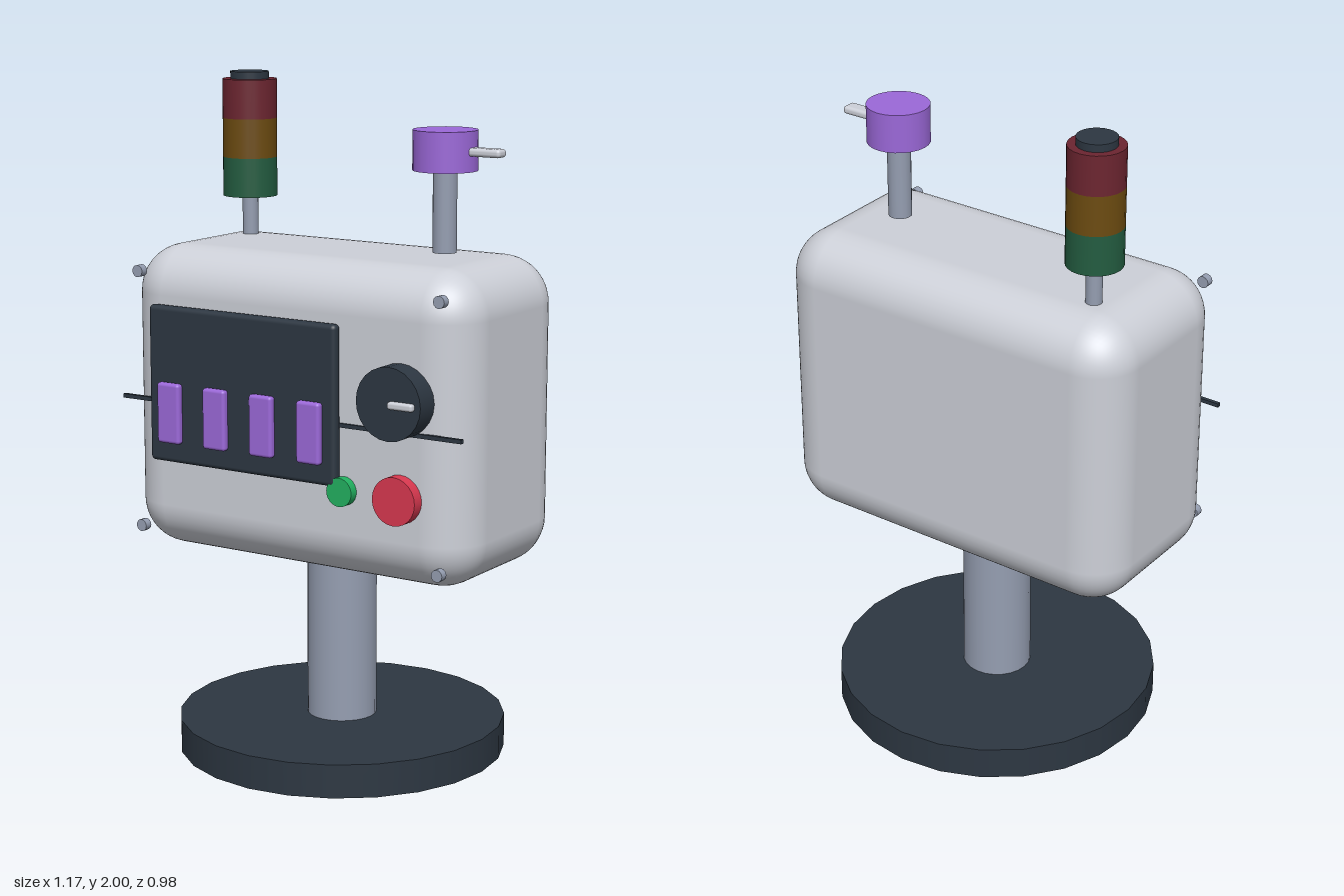
import * as THREE from 'three';
import { RoundedBoxGeometry } from 'three/addons/geometries/RoundedBoxGeometry.js';

const paint = (name, color) => {
  const m = new THREE.MeshStandardMaterial({ color });
  m.name = name;
  return m;
};

export function createModel() {
  const model = new THREE.Group();
  model.name = 'controlConsole';

  const shell = paint('shellGrey', 0xcdd0d8);
  const steel = paint('steel', 0x959eb1);
  const dark = paint('darkSlate', 0x2d3742);
  const purple = paint('purple', 0x9b68d8);
  const red = paint('red', 0xd8384f);
  const green = paint('green', 0x22b060);
  const lampRed = paint('lampRed', 0x6c2530);
  const lampAmber = paint('lampAmber', 0x6c4b10);
  const lampGreen = paint('lampGreen', 0x235c40);

  const add = (name, geometry, material, x, y, z) => {
    const mesh = new THREE.Mesh(geometry, material);
    mesh.name = name;
    mesh.position.set(x, y, z);
    model.add(mesh);
    return mesh;
  };
  // upright cylinder between two heights
  const post = (name, r, y0, y1, mat, x = 0, z = 0, sides = 24) =>
    add(name, new THREE.CylinderGeometry(r, r, y1 - y0, sides), mat, x, (y0 + y1) / 2, z);
  // disc on the front face, from z0 out to z1
  const disc = (name, r, x, y, z0, z1, mat, sides = 24) => {
    const g = new THREE.CylinderGeometry(r, r, z1 - z0, sides).rotateX(Math.PI / 2);
    return add(name, g, mat, x, y, (z0 + z1) / 2);
  };
  const block = (name, w, h, d, r, mat, x, y, z, seg = 3) =>
    add(name, new RoundedBoxGeometry(w, h, d, seg, r), mat, x, y, z);

  // stand
  post('base', 0.49, 0, 0.1, dark);
  post('column', 0.104, 0.1, 0.62, steel);

  // housing
  block('housing', 1.17, 0.91, 0.58, 0.14, shell, 0, 1.055, 0, 6);
  add('seam', new THREE.BoxGeometry(1.17, 0.012, 0.012), dark, 0, 1.057, 0.291);

  // front panel with its row of keys
  block('panel', 0.655, 0.465, 0.034, 0.014, dark, -0.142, 1.113, 0.303);
  for (let i = 0; i < 4; i++) {
    block('key', 0.08, 0.18, 0.026, 0.01, purple, -0.386 + i * 0.164, 1.032, 0.33);
  }

  // dial and push buttons
  disc('dial', 0.105, 0.385, 1.149, 0.28, 0.356, dark);
  block('dialPointer', 0.082, 0.022, 0.022, 0.008, shell, 0.43, 1.149, 0.361);
  disc('redButton', 0.07, 0.385, 0.868, 0.28, 0.327, red);
  disc('greenButton', 0.042, 0.198, 0.868, 0.28, 0.318, green);

  // corner screws
  for (const x of [-0.516, 0.516]) {
    for (const y of [0.67, 1.438]) disc('screw', 0.018, x, y, 0.284, 0.308, steel, 12);
  }

  // signal tower
  const tx = -0.41, tz = -0.117;
  post('towerPole', 0.024, 1.49, 1.63, steel, tx, tz, 16);
  [lampGreen, lampAmber, lampRed].forEach((mat, i) =>
    post('lamp', 0.082, 1.627 + i * 0.117, 1.627 + (i + 1) * 0.117, mat, tx, tz));
  post('towerCap', 0.058, 1.97, 2, dark, tx, tz);

  // top knob with lever
  post('knobPole', 0.035, 1.525, 1.76, steel, 0.348, 0, 16);
  post('knob', 0.093, 1.758, 1.873, purple, 0.348, 0);
  block('lever', 0.13, 0.024, 0.045, 0.01, shell, 0.47, 1.815, 0);

  return model;
}
